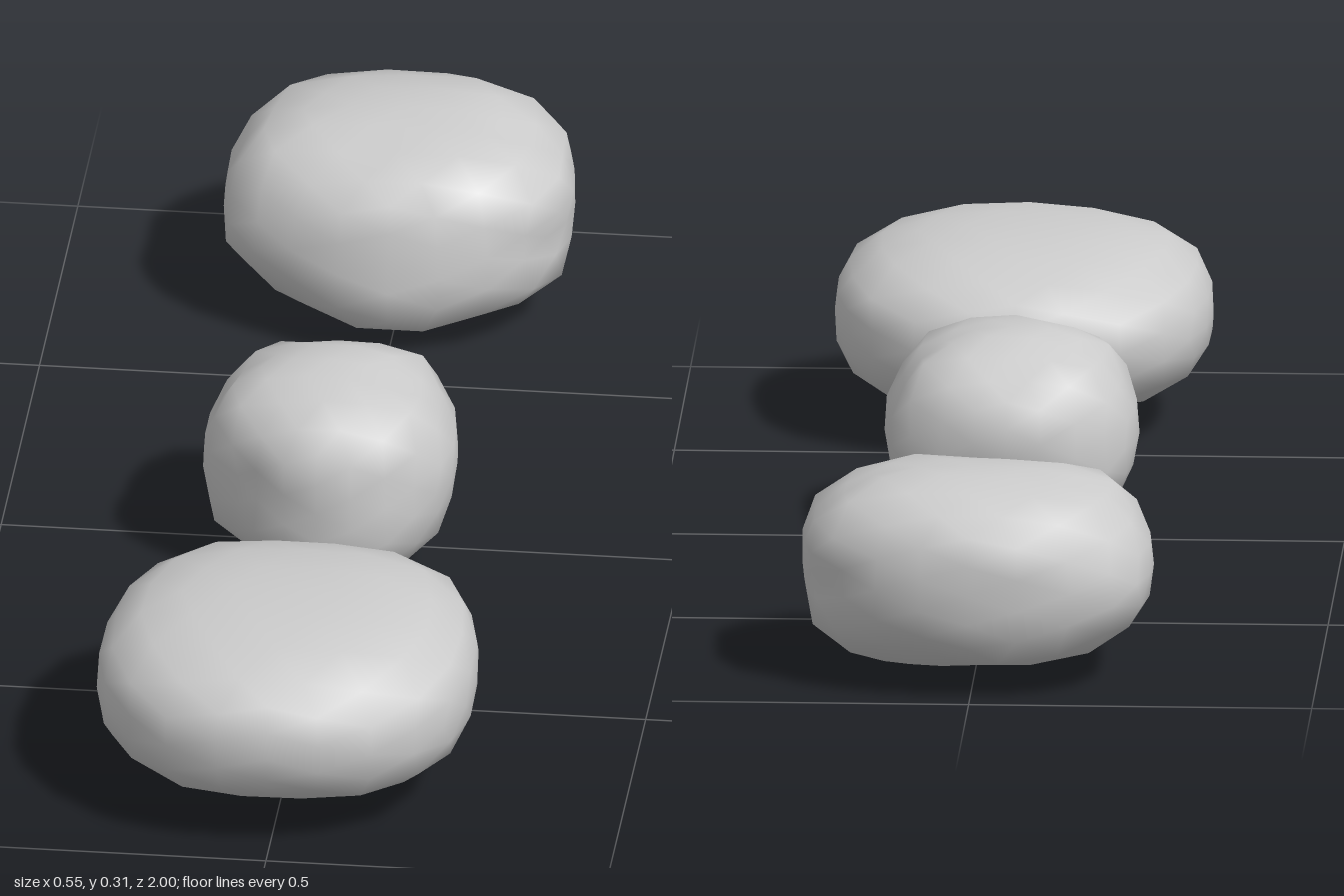
import * as THREE from 'three';
import { mergeVertices } from 'three/addons/utils/BufferGeometryUtils.js';

// Each rock: centre, half size, squareness in plan (q) and in height (p), lumpiness,
// and knobs (+) or dents (-) as [direction, amount]
const ROCKS = [
  {
    name: 'frontFlatRock', center: [0, 0.165, 0.708], half: [0.276, 0.131, 0.288],
    q: 2.4, p: 2.8, lump: 0.012, seed: 1,
    knobs: [[[0, -0.8, -0.5], -0.09], [[0, 0.8, -0.6], -0.06], [[0, -0.7, 0.7], -0.05]],
  },
  {
    name: 'middleRoundRock', center: [-0.015, 0.157, 0.022], half: [0.186, 0.156, 0.19],
    q: 2.3, p: 2.3, lump: 0.05, seed: 5,
    knobs: [[[0.1, -0.7, 0.7], 0.1], [[0, -0.6, -0.6], -0.16], [[0, 0.6, 0.75], 0.1], [[-0.5, 0, 0.8], -0.1]],
  },
  {
    name: 'backRock', center: [0.002, 0.163, -0.787], half: [0.262, 0.143, 0.213],
    q: 2.5, p: 2.6, lump: 0.04, seed: 9,
    knobs: [[[0, 0.75, -0.7], 0.06], [[0, -0.7, 0.8], 0.16], [[0.8, 0, -0.55], -0.1], [[0.85, 0, 0.5], -0.06]],
  },
];

// Sphere swollen towards a rounded box, then knobbed, dented and roughened
function rockGeometry({ half, q, p, lump, seed, knobs }) {
  let geo = new THREE.IcosahedronGeometry(1, 3);
  geo.deleteAttribute('normal');
  geo.deleteAttribute('uv');
  geo = mergeVertices(geo, 1e-4);
  const pos = geo.attributes.position;
  const d = new THREE.Vector3();
  const towards = knobs.map(([dir, amount]) => [new THREE.Vector3(...dir).normalize(), amount]);
  for (let i = 0; i < pos.count; i++) {
    d.fromBufferAttribute(pos, i);
    const [x, y, z] = d.toArray().map(Math.abs);
    const plan = (x ** q + z ** q) ** (1 / q);
    let r = 1 / (plan ** p + y ** p) ** (1 / p);
    for (const [dir, amount] of towards) r += amount * Math.exp(8 * (d.dot(dir) - 1));
    // Roughness fades at the outermost points so the overall size holds
    const fade = 1 - Math.max(x, y, z) ** 6;
    const rough = Math.sin(d.x * 6 + seed) * Math.sin(d.y * 7 + seed * 2) + Math.sin(d.z * 7 + d.x * 4 + seed * 3);
    d.multiplyScalar(r + lump * fade * rough);
    pos.setXYZ(i, d.x * half[0], d.y * half[1], d.z * half[2]);
  }
  geo.computeVertexNormals();
  return geo;
}

export function createModel() {
  const group = new THREE.Group();
  group.name = 'rocks';
  const stone = new THREE.MeshStandardMaterial({ color: 0xcccccc });
  for (const spec of ROCKS) {
    const mesh = new THREE.Mesh(rockGeometry(spec), stone);
    mesh.name = spec.name;
    mesh.position.set(...spec.center);
    group.add(mesh);
  }
  return group;
}
